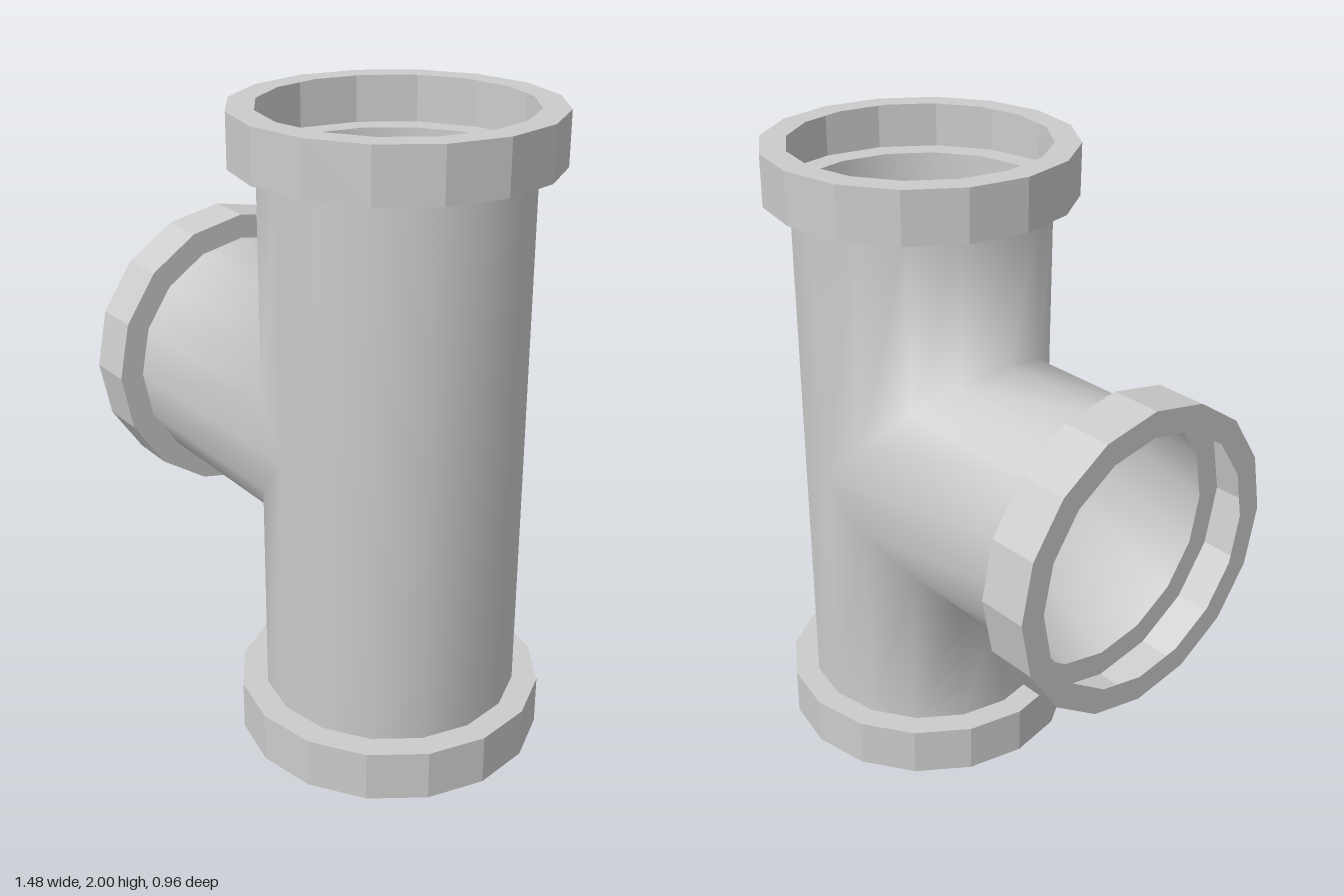
import * as THREE from 'three';
import { mergeVertices } from 'three/addons/utils/BufferGeometryUtils.js';

const SIDES = 16, R = 0.4, COLLAR_R = 0.48, COLLAR_H = 0.16;
const AXIS_X = 0.26, MID_Y = 1, HEIGHT = 2, BRANCH_END = -0.58;

// Tee body: two equal pipes that meet along a 45 degree mitre, shaded as one skin
function teeGeometry() {
  const positions = [];
  const quad = (a, b, c, d) => [a, b, c, a, c, d].forEach(p => positions.push(...p));

  // Key points on each lengthwise line of the pipes
  const lines = [];
  for (let k = 0; k <= SIDES; k++) {
    const a = (k / SIDES) * Math.PI * 2;
    const x = AXIS_X + R * Math.cos(a), z = R * Math.sin(a);
    const d = Math.max(0, -R * Math.cos(a));
    lines.push({
      top: [x, HEIGHT - COLLAR_H, z],
      joinTop: [x, MID_Y + d, z],
      joinBottom: [x, MID_Y - d, z],
      bottom: [x, COLLAR_H, z],
      endTop: [BRANCH_END, MID_Y + d, z],
      endBottom: [BRANCH_END, MID_Y - d, z],
    });
  }
  for (let k = 0; k < SIDES; k++) {
    const p = lines[k], q = lines[k + 1];
    // Upright pipe above and below the join
    quad(q.joinTop, p.joinTop, p.top, q.top);
    quad(q.bottom, p.bottom, p.joinBottom, q.joinBottom);
    // Side branch, on the half facing -x
    if (k >= SIDES / 4 && k < (SIDES * 3) / 4) {
      quad(p.endTop, p.joinTop, q.joinTop, q.endTop);
      quad(q.endBottom, q.joinBottom, p.joinBottom, p.endBottom);
    }
  }
  let geometry = new THREE.BufferGeometry();
  geometry.setAttribute('position', new THREE.Float32BufferAttribute(positions, 3));
  geometry = mergeVertices(geometry, 1e-4);
  geometry.computeVertexNormals();
  return geometry;
}

export function createModel() {
  const model = new THREE.Group();
  model.name = 'pipeTee';
  const smooth = new THREE.MeshStandardMaterial({ color: 0xcccccc, side: THREE.DoubleSide });
  const faceted = new THREE.MeshStandardMaterial({ color: 0xcccccc, side: THREE.DoubleSide, flatShading: true });

  const body = new THREE.Mesh(teeGeometry(), smooth);
  body.name = 'teeBody';
  model.add(body);

  // Collars: thin channel rings, open towards the bore
  const profile = [[R, 0], [COLLAR_R, 0], [COLLAR_R, COLLAR_H], [R, COLLAR_H]]
    .map(([x, y]) => new THREE.Vector2(x, y));
  const collarGeometry = new THREE.LatheGeometry(profile, SIDES);
  const addCollar = (name, x, y, turn = 0) => {
    const collar = new THREE.Mesh(collarGeometry, faceted);
    collar.name = name;
    collar.position.set(x, y, 0);
    collar.rotation.z = turn;
    model.add(collar);
  };
  addCollar('bottomCollar', AXIS_X, 0);
  addCollar('topCollar', AXIS_X, HEIGHT - COLLAR_H);
  addCollar('branchCollar', BRANCH_END, MID_Y, Math.PI / 2);

  return model;
}
